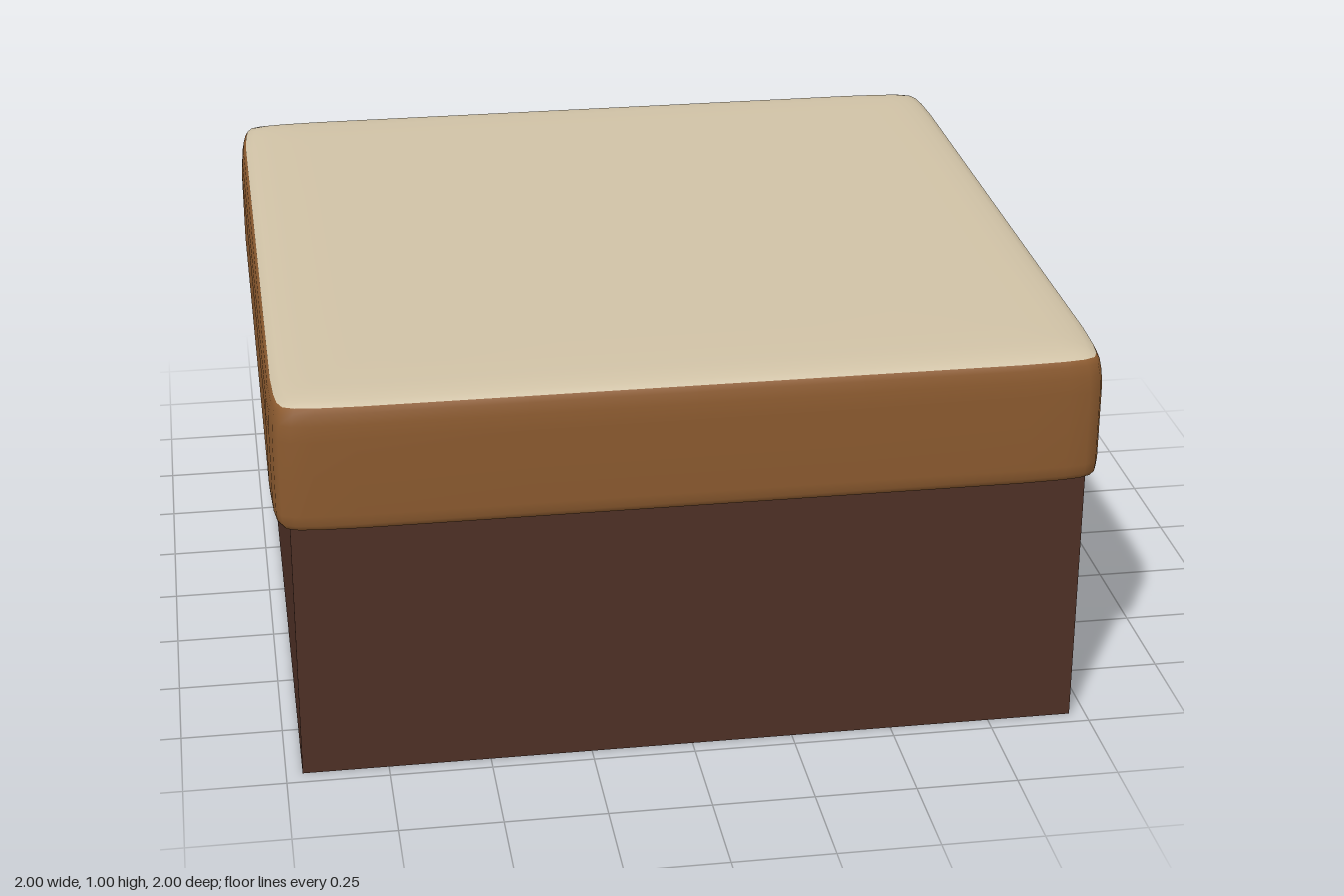
import * as THREE from 'three';

// Quarter outline of the lid: [x, z] in units where the half width is 1.
const CORNER = [[1, 0], [1, 0.4], [1, 0.8], [0.996, 0.9], [0.99, 0.95], [0.978, 0.978],
  [0.95, 0.99], [0.9, 0.996], [0.8, 1], [0.4, 1]];

// Full outline, made by turning the quarter outline four times.
function outline() {
  const points = [];
  let turned = CORNER;
  for (let q = 0; q < 4; q++) {
    points.push(...turned);
    turned = turned.map(([x, z]) => [-z, x]);
  }
  return points;
}

// Stacks scaled outlines into a smooth shell; rings are [half width, y].
function shell(rings) {
  const points = outline();
  const n = points.length;
  const positions = [];
  const index = [];
  for (const [half, y] of rings) {
    for (const [x, z] of points) positions.push(x * half, y, z * half);
  }
  for (let r = 0; r < rings.length - 1; r++) {
    for (let i = 0; i < n; i++) {
      const a = r * n + i;
      const b = r * n + (i + 1) % n;
      index.push(a, a + n, b, b, a + n, b + n);
    }
  }
  const geometry = new THREE.BufferGeometry();
  geometry.setAttribute('position', new THREE.Float32BufferAttribute(positions, 3));
  geometry.setIndex(index);
  geometry.computeVertexNormals();
  return { geometry, perBand: n * 6 };
}

export function createModel() {
  const model = new THREE.Group();
  const darkWood = new THREE.MeshStandardMaterial({ color: 0x4e3025 });
  const brownLeather = new THREE.MeshStandardMaterial({ color: 0x8b5a2f });
  const creamFabric = new THREE.MeshStandardMaterial({ color: 0xd0c2a6 });

  // Plain box base
  const base = new THREE.Mesh(new THREE.BoxGeometry(1.92, 0.68, 1.92), darkWood);
  base.name = 'base';
  base.position.y = 0.34;
  model.add(base);

  // Overhanging cushion: flat underside, soft sides, slightly pillowed top
  const sideRings = [[0.001, 0.667], [0.9, 0.667], [0.975, 0.667], [0.99, 0.671], [0.998, 0.685], [1, 0.71],
    [1, 0.8], [1, 0.9], [0.997, 0.94], [0.992, 0.967], [0.985, 0.981]];
  const topRings = [[0.965, 0.989], [0.94, 0.994], [0.9, 0.998], [0.8, 1], [0.4, 1], [0.001, 1]];
  const { geometry, perBand } = shell([...sideRings, ...topRings]);
  const sideCount = (sideRings.length - 1) * perBand;
  geometry.addGroup(0, sideCount, 0);
  geometry.addGroup(sideCount, topRings.length * perBand, 1);
  const cushion = new THREE.Mesh(geometry, [brownLeather, creamFabric]);
  cushion.name = 'cushion';
  model.add(cushion);

  return model;
}
